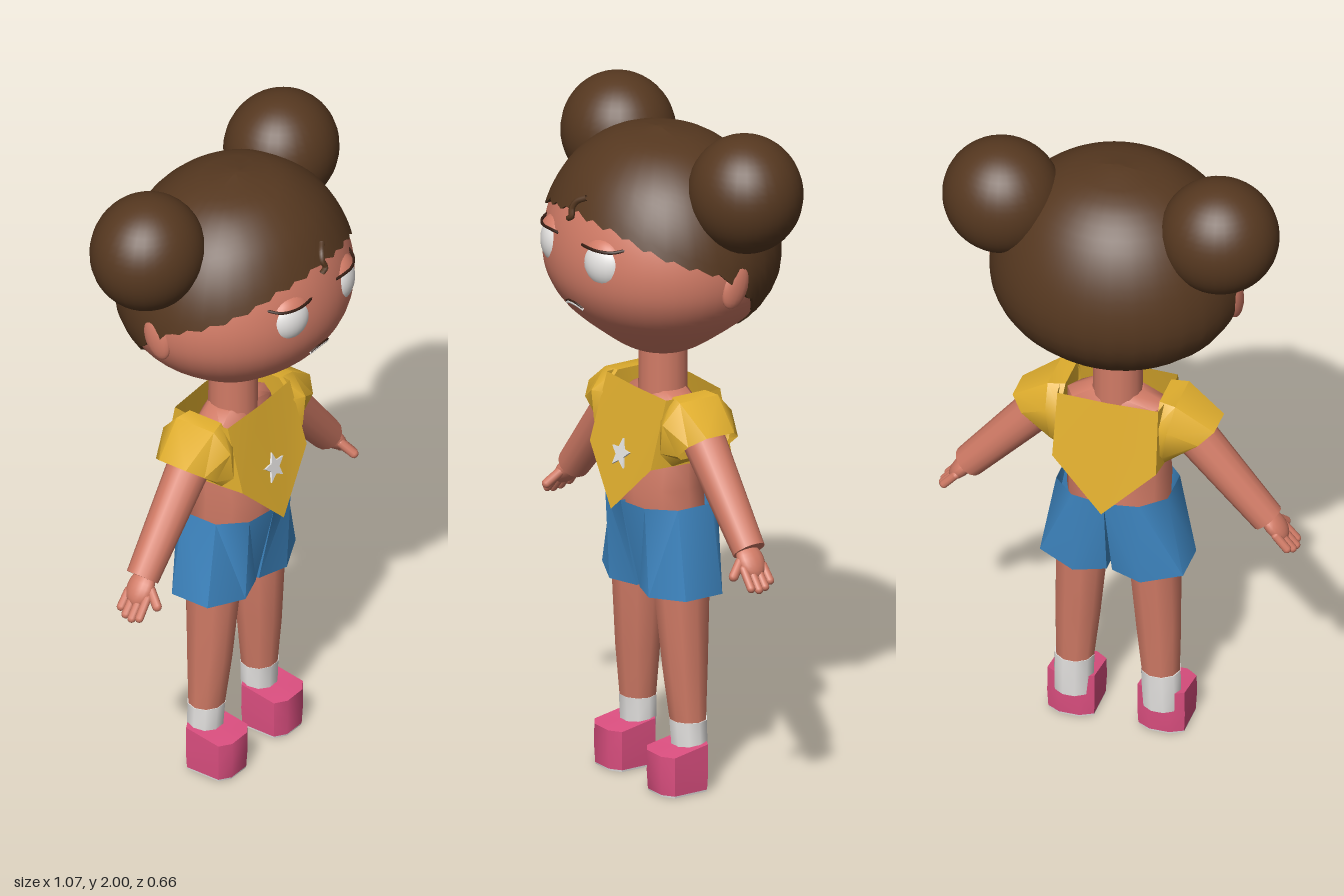
import * as THREE from 'three';
import { toCreasedNormals } from 'three/addons/utils/BufferGeometryUtils.js';

const V = (x, y, z) => new THREE.Vector3(x, y, z);
const mat = (name, color, double) => {
  const m = new THREE.MeshStandardMaterial({ color });
  m.name = name;
  if (double) m.side = THREE.DoubleSide;
  return m;
};

// Skin between closed rings of [x, y, z], listed from top to bottom
function loft(rings, capped = true, crease = 0.9) {
  const n = rings[0].length, pos = rings.flat(2), index = [];
  for (let r = 0; r < rings.length - 1; r++) for (let i = 0; i < n; i++) {
    const a = r * n + i, b = r * n + (i + 1) % n;
    index.push(a, b, a + n, b, b + n, a + n);
  }
  if (capped) [0, rings.length - 1].forEach((r, end) => {
    const c = pos.length / 3;
    pos.push(...[0, 1, 2].map(k => rings[r].reduce((s, p) => s + p[k], 0) / n));
    for (let i = 0; i < n; i++) {
      const a = r * n + i, b = r * n + (i + 1) % n;
      index.push(c, end ? a : b, end ? b : a);
    }
  });
  const g = new THREE.BufferGeometry();
  g.setAttribute('position', new THREE.Float32BufferAttribute(pos, 3));
  g.setIndex(index);
  return toCreasedNormals(g, crease);
}

const oval = (cx, y, cz, rx, rz, n = 10) => Array.from({ length: n }, (_, i) => {
  const a = i / n * Math.PI * 2;
  return [cx + rx * Math.cos(a), y, cz + rz * Math.sin(a)];
});

// Head outline: radius against height
const outline = new THREE.CatmullRomCurve3([[0, 1.28], [0.1, 1.3], [0.2, 1.36], [0.3, 1.44], [0.347, 1.515], [0.36, 1.59],
  [0.347, 1.68], [0.31, 1.77], [0.25, 1.85], [0.15, 1.917], [0, 1.945]].map(([r, y]) => V(r, y, 0)))
  .getPoints(60).map(p => new THREE.Vector2(Math.max(p.x, 0), p.y));

// Linear lookup in a list of [key, value] with rising keys
function lookup(list, k) {
  let i = 1;
  while (i < list.length - 1 && list[i][0] < k) i++;
  const [a, b] = [list[i - 1], list[i]];
  return a[1] + (b[1] - a[1]) * THREE.MathUtils.clamp((k - a[0]) / (b[0] - a[0]), 0, 1);
}
const radiusAt = y => lookup(outline.map(p => [p.y, p.x]), y);

export function createModel() {
  const skin = mat('skin', 0xd17b66), hair = mat('hair', 0x563820, true), dark = mat('lash', 0x3a2015);
  const yellow = mat('shirt', 0xe0ae2e, true), blue = mat('shorts', 0x3f88c4, true);
  const pink = mat('shoe', 0xdc4f80), white = mat('white', 0xe6e4e2);
  const model = new THREE.Group();
  const side = new THREE.Group(); // everything on the left, mirrored later
  const add = (parent, name, geo, m, p = [0, 0, 0], s = [1, 1, 1]) => {
    const mesh = new THREE.Mesh(geo, m);
    mesh.name = name;
    mesh.position.set(...p);
    mesh.scale.set(...s);
    parent.add(mesh);
    return mesh;
  };
  const tube = (pts, r) => new THREE.TubeGeometry(new THREE.CatmullRomCurve3(pts.map(p => V(...p))), 16, r, 6);
  const limb = (parent, name, m, a, b, ra, rb, round) => {
    const A = V(...a), B = V(...b), len = A.distanceTo(B);
    const geo = round ? new THREE.CapsuleGeometry(ra, len, 4, 10) : new THREE.CylinderGeometry(ra, rb, len, 14);
    const mesh = add(parent, name, geo, m, A.clone().add(B).multiplyScalar(0.5).toArray());
    mesh.quaternion.setFromUnitVectors(V(0, 1, 0), A.sub(B).normalize());
  };

  // Head and neck
  add(model, 'head', new THREE.LatheGeometry(outline, 48), skin, [0, 0, 0.01], [1, 1, 0.9]);
  add(model, 'neck', new THREE.CylinderGeometry(0.07, 0.072, 0.22, 16), skin, [0, 1.23, 0]);

  // Hair cap with a jagged hairline, given as height against angle from the front
  const hairline = [[0, 1.75], [30, 1.725], [60, 1.655], [82, 1.61], [92, 1.57], [102, 1.52], [115, 1.45], [124, 1.39], [180, 1.385]];
  const rows = 18, seg = 96, cap = [];
  for (let j = 0; j <= rows + 1; j++) cap.push(Array.from({ length: seg }, (_, i) => {
    const a = i / seg * Math.PI * 2, t = Math.min(j / rows, 1);
    const turn = Math.acos(THREE.MathUtils.clamp(Math.sin(a), -1, 1)) * 180 / Math.PI;
    const y = 1.945 - (1.945 - lookup(hairline, turn) - (i % 3) * 0.006) * t ** 1.6;
    const r = radiusAt(y) * (j > rows ? 0.94 : 1.03);
    return [r * Math.cos(a), y + 0.006 * (1 - t), 0.01 + 0.9 * r * Math.sin(a)];
  }));
  add(model, 'hairCap', loft(cap, false, 1), hair);
  add(model, 'forelock', tube([[0.035, 1.8, 0.285], [0.01, 1.785, 0.302], [0.002, 1.765, 0.312], [0.008, 1.742, 0.318], [-0.008, 1.732, 0.318]], 0.009), hair);
  add(side, 'hairBun', new THREE.SphereGeometry(1, 32, 24), hair, [0.323, 1.828, -0.065], [0.172, 0.172, 0.162]);

  // Ear
  const ear = add(side, 'ear', new THREE.SphereGeometry(1, 16, 12), skin, [0.353, 1.57, -0.01], [0.022, 0.07, 0.042]);
  ear.rotation.x = -0.3;

  // Eye with a heavy upper lid
  const eye = new THREE.Group();
  eye.name = 'eye';
  eye.position.set(0.12, 1.625, 0.276);
  eye.rotation.y = 0.3;
  eye.scale.z = 0.72;
  side.add(eye);
  add(eye, 'eyeball', new THREE.SphereGeometry(0.07, 24, 18), white);
  add(eye, 'eyelid', new THREE.SphereGeometry(0.08, 24, 10, 0, Math.PI * 2, 0, 0.9), skin);
  add(eye, 'lashes', tube([[-0.078, 0.045, 0.02], [-0.045, 0.051, 0.05], [0, 0.051, 0.064], [0.045, 0.051, 0.05], [0.078, 0.058, 0.01]], 0.005), dark);

  // Mouth
  const lip = dy => [[-0.042, 1.466 + dy, 0.322], [-0.02, 1.475 + dy, 0.31], [0, 1.477 + dy, 0.311], [0.02, 1.475 + dy, 0.31], [0.042, 1.466 + dy, 0.304]]
    .map(([x, y]) => [x, y, 0.012 + 0.9 * Math.sqrt(radiusAt(y) ** 2 - x * x)]);
  add(model, 'mouth', tube(lip(0), 0.005), white);
  add(model, 'mouthLine', tube(lip(0.006), 0.003), dark);

  // Torso
  add(model, 'torso', loft([oval(0, 1.175, 0, 0.08, 0.06), oval(0, 1.14, 0, 0.15, 0.075), oval(0, 1.0, 0.01, 0.152, 0.11),
    oval(0, 0.9, 0.018, 0.157, 0.122), oval(0, 0.8, 0.01, 0.155, 0.12)]), skin);

  // Cropped shirt with pointed hems front and back
  const band = [[0, 0.095, 0.83, 0.178], [0.15, 0.09, 0.985, 0.146], [0.162, 0, 0.985, 0], [0.15, -0.095, 0.985, -0.13],
    [0, -0.1, 0.83, -0.158], [-0.15, -0.095, 0.985, -0.13], [-0.162, 0, 0.985, 0], [-0.15, 0.09, 0.985, 0.146]];
  add(model, 'shirt', loft([band.map(([x, z]) => [x, 1.183, z]), band.map(([x, , y, z]) => [x * 1.03, y, z])], false, 0.6), yellow);

  // Sleeve rings: upper point, lower point, half depth
  const sleeve = [[0.14, 1.185, 0.15, 0.985, 0.1], [0.19, 1.183, 0.16, 0.985, 0.118], [0.3, 1.105, 0.175, 1.005, 0.085]]
    .map(([x0, y0, x1, y1, hz]) => [[0, 0.55], [0, -0.55], [0.3, -1], [0.75, -1], [1, -0.6], [1, 0.6], [0.75, 1], [0.3, 1]]
      .map(([u, w]) => [x0 + (x1 - x0) * u, y0 + (y1 - y0) * u, w * hz + 0.005]));
  add(side, 'sleeve', loft(sleeve, false, 0.8), yellow);

  // Star badge
  const star = new THREE.Shape(Array.from({ length: 10 }, (_, i) => {
    const r = i % 2 ? 0.02 : 0.046, a = Math.PI / 2 + i * Math.PI / 5;
    return new THREE.Vector2(r * Math.cos(a), r * Math.sin(a));
  }));
  add(model, 'star', new THREE.ExtrudeGeometry(star, { depth: 0.006, bevelEnabled: false }), white, [0, 0.99, 0.142]).rotation.x = -0.235;

  // Arm and hand
  limb(side, 'arm', skin, [0.19, 1.095, 0.005], [0.445, 0.802, 0.005], 0.064, 0.048);
  const hand = new THREE.Group();
  hand.name = 'hand';
  hand.position.set(0.445, 0.802, 0.012);
  hand.rotation.z = 0.69;
  side.add(hand);
  add(hand, 'palm', new THREE.SphereGeometry(1, 16, 12), skin, [0, -0.03, 0], [0.026, 0.055, 0.042]);
  for (let i = 0; i < 4; i++) {
    const z = -0.033 + i * 0.022, len = [0.1, 0.115, 0.12, 0.112][i];
    limb(hand, 'finger', skin, [0, -0.05, z], [0.002, -len, z * 1.05], 0.0125, 0, true);
  }
  limb(hand, 'thumb', skin, [-0.004, -0.025, 0.032], [-0.012, -0.062, 0.066], 0.014, 0, true);

  // Half of the shorts, with an open leg
  const shortsTop = [[0, 0.145], [0, -0.135], [0.1, -0.118], [0.166, -0.055], [0.166, 0.06], [0.1, 0.13]];
  const shortsHem = [[0.008, 0.085, 0.58], [0.008, -0.08, 0.58], [0.1, -0.108, 0.575], [0.213, -0.06, 0.59], [0.213, 0.065, 0.59], [0.1, 0.116, 0.58]];
  add(side, 'shorts', loft([shortsTop.map(([x, z]) => [x, 0.85, z]).reverse(), shortsHem.map(([x, z, y]) => [x, y, z]).reverse()], false, 1), blue);

  // Leg, sock and shoe
  add(side, 'leg', loft([oval(0.108, 0.7, 0.008, 0.08, 0.085), oval(0.109, 0.58, 0.008, 0.077, 0.082), oval(0.12, 0.36, 0.005, 0.067, 0.067),
    oval(0.128, 0.19, 0, 0.056, 0.052)]), skin);
  add(side, 'sock', loft([oval(0.128, 0.205, 0, 0.059, 0.055), oval(0.13, 0.14, -0.002, 0.059, 0.052), oval(0.132, 0.08, -0.002, 0.057, 0.049)]), white);
  const foot = [[0.068, 0.095], [0.035, 0.118], [-0.035, 0.118], [-0.068, 0.095], [-0.068, -0.015], [-0.03, -0.035], [0.03, -0.035], [0.068, -0.015]];
  const footRing = (y, k, lift = 0) => foot.map(([x, z]) => [0.134 + x * k, y + (z < 0.05 ? lift : 0), 0.04 + (z - 0.04) * k]);
  add(side, 'shoe', loft([footRing(0.122, 1.03, 0.02), footRing(0.06, 1.04), footRing(0.006, 1)]), pink);
  add(side, 'sole', loft([footRing(0.006, 0.99), footRing(0, 0.98)]), white);

  // Mirror the left side, baking the reflection and turning the faces round
  side.name = 'leftSide';
  side.updateMatrixWorld(true);
  const right = new THREE.Group();
  right.name = 'rightSide';
  const flip = new THREE.Matrix4().makeScale(-1, 1, 1);
  side.traverse(o => {
    if (!o.isMesh) return;
    const g = (o.geometry.index ? o.geometry.toNonIndexed() : o.geometry.clone()).applyMatrix4(flip.clone().multiply(o.matrixWorld));
    const count = g.attributes.position.count;
    g.setIndex(Array.from({ length: count }, (_, i) => i % 3 === 0 ? i : i % 3 === 1 ? i + 1 : i - 1));
    add(right, o.name, g, o.material);
  });
  model.add(side, right);
  return model;
}
